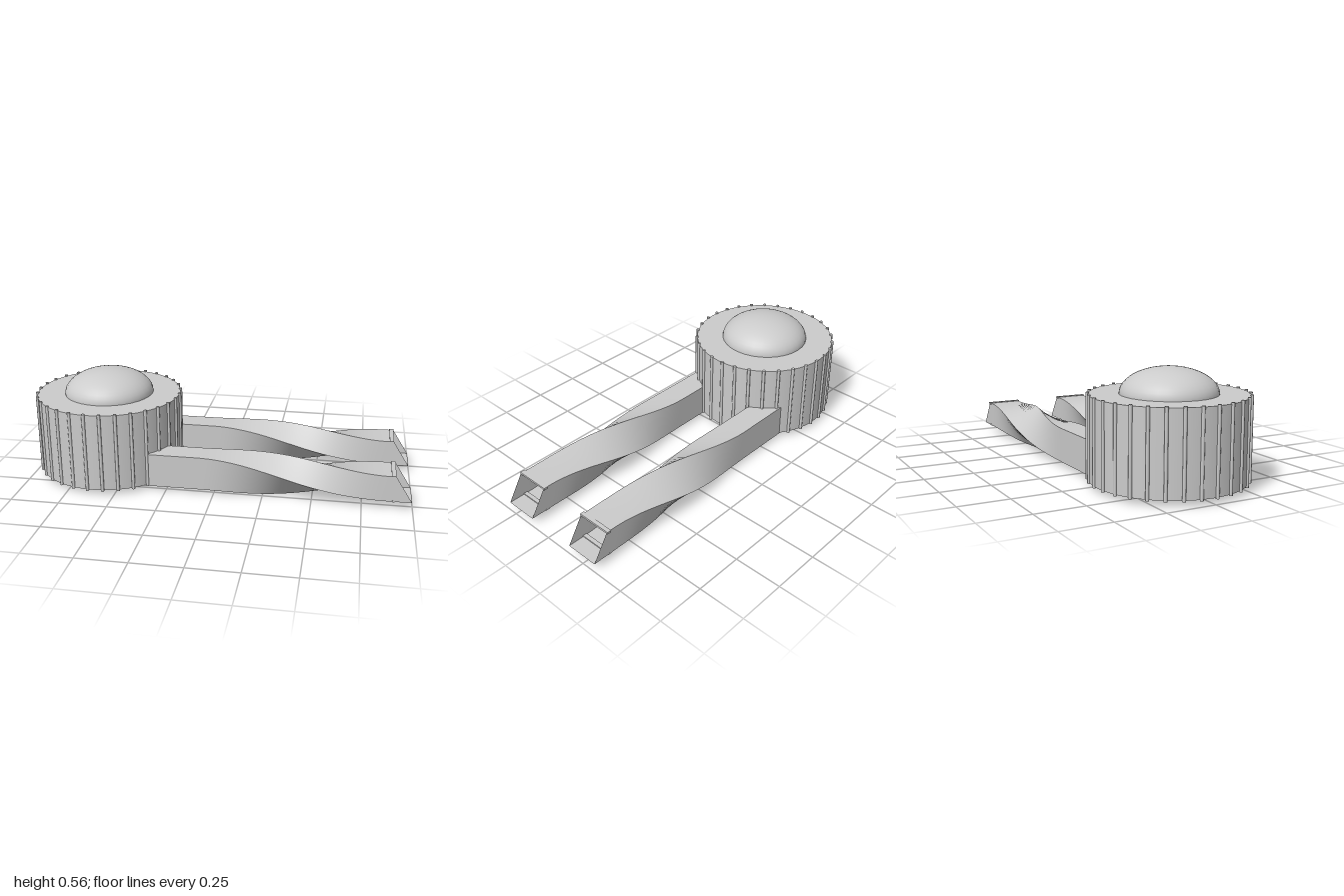
import * as THREE from 'three';

const material = new THREE.MeshStandardMaterial({ color: 0xcccccc });
const thinMaterial = new THREE.MeshStandardMaterial({ color: 0xcccccc, side: THREE.DoubleSide });

function add(parent, name, geometry, x, y, z, mat = material) {
  const mesh = new THREE.Mesh(geometry, mat);
  mesh.name = name;
  mesh.position.set(x, y, z);
  parent.add(mesh);
  return mesh;
}

// Open rectangular tube along x, twisted a quarter turn, with a slanted mouth
function twistedTube(height, width) {
  const corners = [[1, -1], [1, 1], [-1, 1], [-1, -1]];
  const stations = [-0.42, -0.26];
  const steps = 48, from = -0.09, to = 0.88;
  for (let i = 0; i <= steps; i++) stations.push(from + (to - from) * i / steps);
  stations.push(0.91);

  const point = (i, k) => {
    const x = stations[i];
    const angle = THREE.MathUtils.smoothstep(x, from, to) * Math.PI / 2;
    const y0 = corners[k % 4][0] * height / 2, z0 = corners[k % 4][1] * width / 2;
    const y = y0 * Math.cos(angle) - z0 * Math.sin(angle);
    const z = y0 * Math.sin(angle) + z0 * Math.cos(angle);
    const slant = i === stations.length - 1 ? 0.085 * (0.5 - y / width) : 0;
    return [x + slant, y, z];
  };

  // Each side keeps its own vertices so the four long edges stay sharp
  const positions = [], index = [];
  for (let k = 0; k < 4; k++) {
    const base = positions.length / 3;
    stations.forEach((_, i) => {
      positions.push(...point(i, k), ...point(i, k + 1));
      if (i === 0) return;
      const a = base + (i - 1) * 2;
      index.push(a, a + 1, a + 2, a + 1, a + 3, a + 2);
    });
  }
  const geometry = new THREE.BufferGeometry();
  geometry.setAttribute('position', new THREE.Float32BufferAttribute(positions, 3));
  geometry.setIndex(index);
  geometry.computeVertexNormals();
  return geometry;
}

export function createModel() {
  const model = new THREE.Group();
  const cx = -0.61;

  // Drum body with a closed top and bottom
  const drum = new THREE.Group();
  drum.name = 'drum';
  drum.position.x = cx;
  model.add(drum);
  add(drum, 'drumBody', new THREE.CylinderGeometry(0.379, 0.379, 0.405, 48), 0, 0.2325, 0);

  // Round vertical ribs around the drum wall
  const ribGeometry = new THREE.CylinderGeometry(0.0085, 0.0085, 0.416, 10);
  const ribs = 30;
  for (let i = 0; i < ribs; i++) {
    const a = i * Math.PI * 2 / ribs + 0.04;
    add(drum, 'rib', ribGeometry, 0.38 * Math.cos(a), 0.233, -0.38 * Math.sin(a));
  }

  // Flattened dome on the top
  const domeGeometry = new THREE.SphereGeometry(0.235, 32, 12, 0, Math.PI * 2, 0, Math.PI / 2);
  domeGeometry.scale(1, 0.128 / 0.235, 1);
  add(drum, 'dome', domeGeometry, 0, 0.434, 0);

  // Pair of hollow twisted arms with a lip at the mouth
  const armGeometry = twistedTube(0.175, 0.135);
  for (const z of [0.208, -0.24]) {
    const arm = new THREE.Group();
    arm.name = 'arm';
    arm.position.set(0, 0.113, z);
    model.add(arm);
    add(arm, 'twistedTube', armGeometry, 0, 0, 0, thinMaterial);
    add(arm, 'upperLip', new THREE.BoxGeometry(0.022, 0.011, 0.186), 0.899, 0.066, 0);
    add(arm, 'lowerLip', new THREE.BoxGeometry(0.022, 0.008, 0.176), 0.899, -0.066, 0);
  }
  return model;
}
